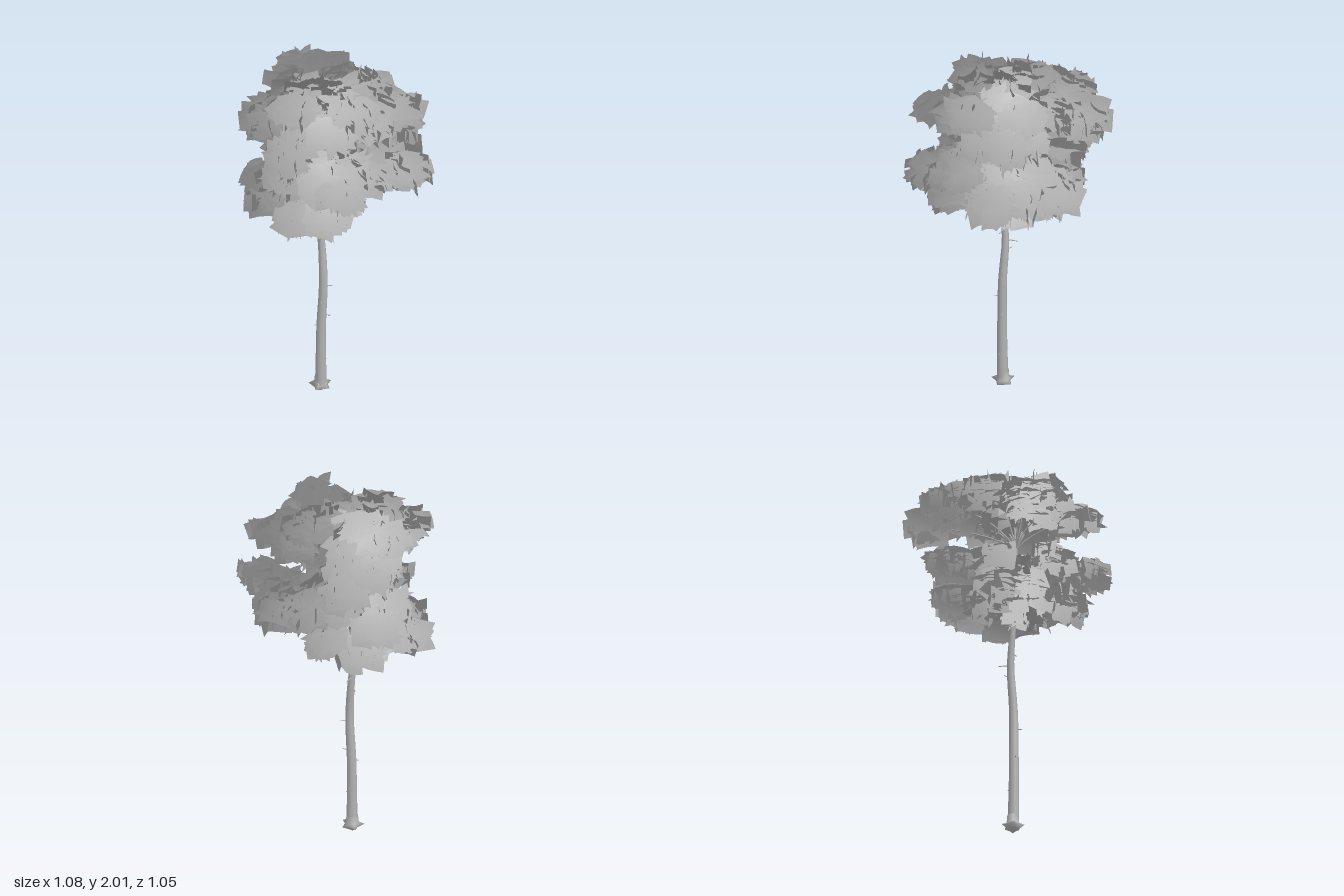
import * as THREE from 'three';
import { mergeGeometries } from 'three/addons/utils/BufferGeometryUtils.js';

const V = (x, y, z) => new THREE.Vector3(x, y, z);

// small seeded generator
function makeRandom(seed) {
  return () => {
    seed = (seed * 1664525 + 1013904223) % 4294967296;
    return seed / 4294967296;
  };
}

// tube whose radius runs through a list of values
function taperedTube(curve, radii, segments, sides) {
  const geo = new THREE.TubeGeometry(curve, segments, 1, sides);
  const pos = geo.attributes.position;
  const v = V(0, 0, 0);
  for (let i = 0; i <= segments; i++) {
    const t = (i / segments) * (radii.length - 1);
    const k = Math.min(Math.floor(t), radii.length - 2);
    const r = THREE.MathUtils.lerp(radii[k], radii[k + 1], t - k);
    const centre = curve.getPointAt(i / segments);
    for (let j = 0; j <= sides; j++) {
      const n = i * (sides + 1) + j;
      v.fromBufferAttribute(pos, n).sub(centre).multiplyScalar(r).add(centre);
      pos.setXYZ(n, v.x, v.y, v.z);
    }
  }
  return geo;
}

const trunkPoints = [
  V(-0.082, 0.03, 0.038), V(-0.08, 0.4, 0.04), V(-0.07, 0.7, 0.035), V(-0.086, 0.95, 0.024),
  V(-0.105, 1.2, 0.045), V(-0.11, 1.4, 0.055), V(-0.112, 1.64, 0.06),
];

// point on the trunk axis at a given height
function trunkAt(y) {
  let k = 0;
  while (k < trunkPoints.length - 2 && trunkPoints[k + 1].y < y) k++;
  const a = trunkPoints[k], b = trunkPoints[k + 1];
  return a.clone().lerp(b, THREE.MathUtils.clamp((y - a.y) / (b.y - a.y), 0, 1));
}

// leaf clump centres in three storeys
const storeys = {
  lowerFoliage: [
    [-0.13, 1.23, 0.1], [0.06, 1.3, 0.27], [-0.09, 1.26, 0.3], [-0.39, 1.26, 0.03],
    [-0.23, 1.28, -0.24], [-0.3, 1.27, 0.2], [0.01, 1.25, -0.04], [-0.06, 1.29, -0.22],
    [-0.2, 1.24, -0.07], [0.04, 1.28, 0.12],
  ],
  middleFoliage: [
    [0.19, 1.49, -0.33], [0.39, 1.5, -0.03], [0.21, 1.44, 0.02], [0.18, 1.54, 0.37],
    [0.14, 1.52, 0.2], [-0.08, 1.46, 0.13], [-0.19, 1.47, 0.26], [-0.31, 1.45, -0.24],
    [-0.04, 1.45, -0.13], [-0.3, 1.44, 0.0], [0.24, 1.46, -0.15], [0.05, 1.46, 0.03],
    [0.02, 1.5, 0.28], [0.08, 1.46, -0.24],
  ],
  upperFoliage: [
    [0.15, 1.92, 0.15], [0.11, 1.9, -0.11], [0.3, 1.83, -0.09], [0.0, 1.88, 0.03],
    [-0.14, 1.88, 0.02], [-0.29, 1.85, -0.05], [-0.29, 1.78, 0.13], [-0.1, 1.73, 0.38],
    [-0.21, 1.72, -0.38], [0.06, 1.82, 0.24], [-0.32, 1.8, 0.24], [0.16, 1.8, -0.13],
    [-0.14, 1.75, 0.2], [-0.32, 1.79, -0.26], [0.08, 1.77, 0.06], [0.22, 1.81, 0.06],
    [-0.1, 1.76, -0.06], [-0.17, 1.76, -0.22], [-0.16, 1.88, 0.19],
  ],
};

// one slightly bent leaf card, turned to face outward and shaded as part of the crown
function leafCard(w, h, bend, matrix, outward, normalAt) {
  const geo = new THREE.PlaneGeometry(w, h, 3, 1);
  const pos = geo.attributes.position;
  for (let i = 0; i < pos.count; i++) {
    const u = pos.getX(i) / w;
    pos.setZ(i, bend * (0.25 - u * u) * 4);
  }
  geo.applyMatrix4(matrix);
  for (let i = 0; i < pos.count; i++) {
    const n = normalAt(V(0, 0, 0).fromBufferAttribute(pos, i));
    geo.attributes.normal.setXYZ(i, n.x, n.y, n.z);
  }
  const facing = V(0, 0, 1).transformDirection(matrix);
  if (facing.dot(outward) < 0) geo.setIndex(Array.from(geo.index.array).reverse());
  return geo;
}

// ragged cluster of near-level and near-upright cards
function leafClump(centre, random) {
  const cards = [];
  const spread = (s) => (random() * 2 - 1) * s;
  const axis = trunkAt(centre.y);
  const outward = V(centre.x - axis.x, 0.12, centre.z - axis.z).normalize();
  const normalAt = (p) => p.sub(centre).multiplyScalar(2).add(outward).normalize();
  for (let i = 0; i < 40; i++) {
    const level = i % 5 < 2;
    const a = random() * Math.PI * 2;
    const r = Math.sqrt(random()) * (level ? 0.06 : 0.09);
    const p = V(Math.cos(a) * r, spread(0.042), Math.sin(a) * r).add(centre);
    const turn = new THREE.Euler(
      (level ? -Math.PI / 2 : 0) + spread(0.28), random() * Math.PI * 2, spread(0.25), 'YXZ');
    const m = new THREE.Matrix4().makeRotationFromEuler(turn).setPosition(p);
    const w = 0.09 + random() * 0.05;
    const size = level ? [w * 1.2, w * 1.2] : [w, 0.07 + random() * 0.035];
    cards.push(leafCard(...size, 0.015, m, outward, normalAt));
  }
  return cards;
}

export function createModel() {
  const group = new THREE.Group();
  const grey = new THREE.MeshStandardMaterial({ color: 0xb4b4b4, side: THREE.DoubleSide });
  grey.name = 'grey';
  const random = makeRandom(11);
  const add = (geo, name) => {
    const mesh = new THREE.Mesh(geo, grey);
    mesh.name = name;
    group.add(mesh);
  };

  // trunk
  const trunkCurve = new THREE.CatmullRomCurve3(trunkPoints);
  add(taperedTube(trunkCurve, [0.03, 0.026, 0.024, 0.021, 0.016, 0.011, 0.007], 24, 10), 'trunk');

  // pointed root flare
  const profile = [[0, 0], [0.025, 0.02], [0.05, 0.042], [0.034, 0.052], [0.029, 0.1]]
    .map(([r, y]) => new THREE.Vector2(r, y));
  const roots = new THREE.LatheGeometry(profile, 10);
  const rp = roots.attributes.position;
  for (let i = 0; i < rp.count; i++) {
    const x = rp.getX(i), z = rp.getZ(i);
    const k = Math.hypot(x, z) > 0.045 ? 1 + 0.25 * Math.cos(5 * Math.atan2(x, z)) : 1;
    rp.setXYZ(i, x * k, rp.getY(i), z * k);
  }
  roots.translate(-0.085, 0, 0.035);
  roots.computeVertexNormals();
  add(roots, 'roots');

  // short dead twigs along the trunk: height, heading in radians, length
  const twigs = [
    [0.22, 0.3, 0.035], [0.24, 4.4, 0.032], [0.42, 2.6, 0.035], [0.49, 6.1, 0.045],
    [0.59, 1.3, 0.045], [0.67, 5.8, 0.05], [0.88, 3.9, 0.045], [0.95, 4.8, 0.065],
    [1.02, 0.2, 0.06], [1.16, 4.5, 0.04],
  ].map(([y, a, len]) => {
    const s = trunkAt(y);
    const e = s.clone().add(V(Math.cos(a) * len, 0.004, Math.sin(a) * len));
    return taperedTube(new THREE.LineCurve3(s, e), [0.004, 0.002], 2, 5);
  });
  add(mergeGeometries(twigs), 'twigs');

  // branches and leaf clumps, storey by storey; the top ones rise steeply before spreading
  const branches = [];
  for (const [name, centres] of Object.entries(storeys)) {
    const cards = [];
    for (const c of centres) {
      const centre = V(...c);
      const start = trunkAt(Math.min(centre.y - 0.06, 1.59));
      const mid = start.clone().lerp(centre, 0.3);
      mid.y = centre.y - 0.03;
      branches.push(taperedTube(
        new THREE.QuadraticBezierCurve3(start, mid, centre), [0.005, 0.003], 6, 5));
      cards.push(...leafClump(centre, random));
    }
    add(mergeGeometries(cards), name);
  }
  add(mergeGeometries(branches), 'branches');
  return group;
}
